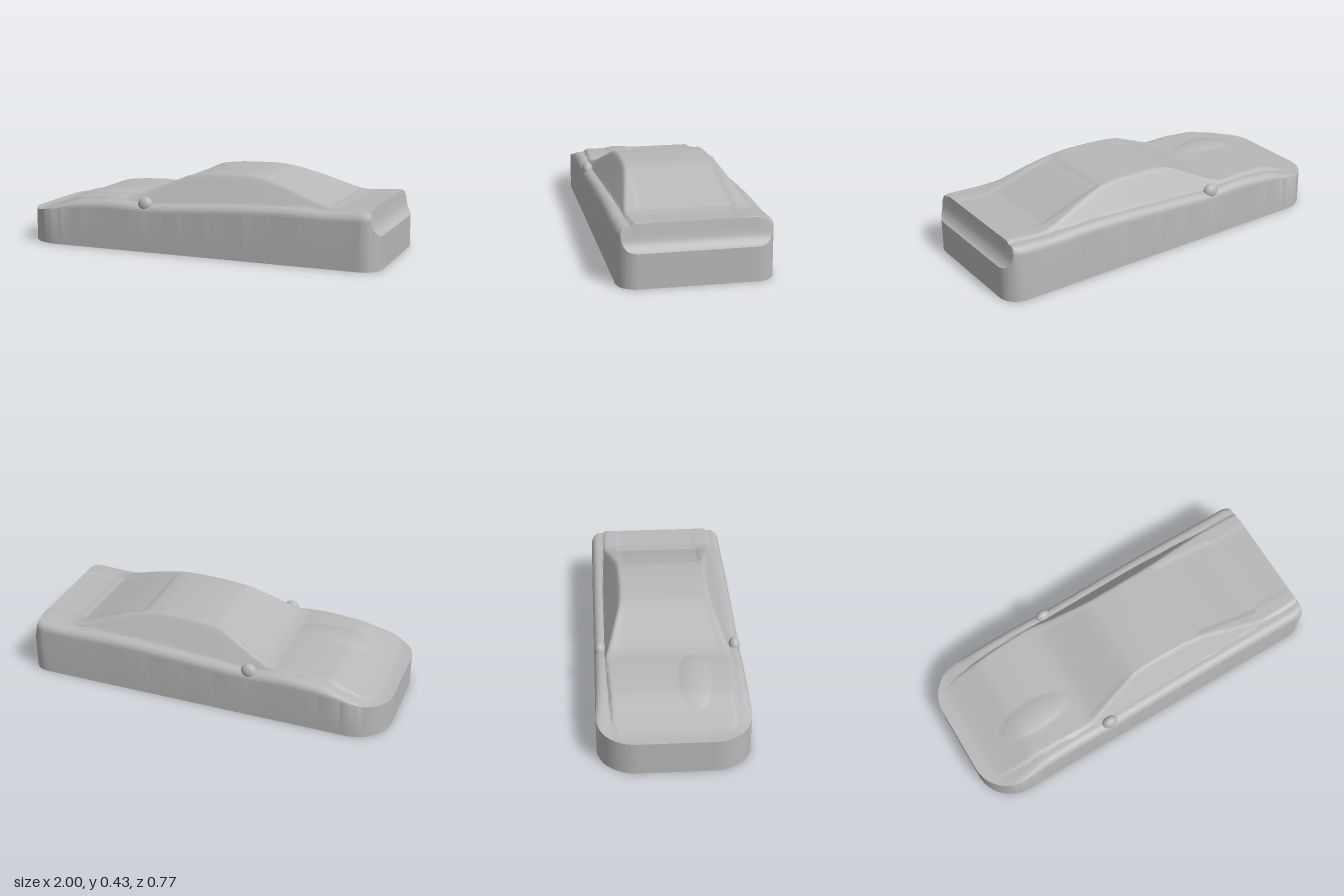
import * as THREE from 'three';
import { toCreasedNormals } from 'three/addons/utils/BufferGeometryUtils.js';

const HALF = 0.385;

// piecewise-linear profile lookup
function linear(points, x) {
  if (x <= points[0][0]) return points[0][1];
  for (let i = 1; i < points.length; i++) {
    const [x1, y1] = points[i];
    if (x <= x1) {
      const [x0, y0] = points[i - 1];
      return y0 + ((y1 - y0) * (x - x0)) / (x1 - x0);
    }
  }
  return points[points.length - 1][1];
}

// the same profile with its corners rounded off
function soft(points, x, r = 0.04) {
  let sum = 0;
  for (let k = -4; k <= 4; k++) sum += linear(points, x + (k * r) / 4);
  return sum / 9;
}

function smoothMin(a, b, k) {
  const h = Math.max(k - Math.abs(a - b), 0) / k;
  return Math.min(a, b) - (h * h * k) / 4;
}

const step = THREE.MathUtils.smoothstep;

// centre-line height: bonnet, windscreen, roof, rear window, rear deck
const CENTRE = [[-1, 0.17], [-0.93, 0.175], [-0.85, 0.202], [-0.7, 0.262], [-0.58, 0.273], [-0.45, 0.277],
  [-0.38, 0.272], [-0.3, 0.297], [-0.07, 0.405], [0.04, 0.42], [0.15, 0.425], [0.28, 0.425], [0.37, 0.413],
  [0.5, 0.377], [0.7, 0.308], [0.76, 0.297], [0.85, 0.303], [0.95, 0.31], [1, 0.313]];
// shoulder height along the sides
const SHOULDER = [[-1, 0.175], [-0.92, 0.175], [-0.8, 0.212], [-0.68, 0.248], [-0.5, 0.264], [-0.38, 0.262],
  [-0.27, 0.252], [-0.1, 0.264], [0.2, 0.282], [0.5, 0.293], [0.75, 0.287], [0.95, 0.297], [1, 0.298]];
// half-width of the raised bonnet, cabin and deck
const EDGE = [[-1, 0.27], [-0.93, 0.285], [-0.85, 0.308], [-0.6, 0.322], [-0.35, 0.33], [0.3, 0.328], [0.95, 0.312]];
// concave tail panel
const TAIL = [[0.949, 0.32], [0.953, 0.295], [0.96, 0.24], [0.966, 0.216], [0.975, 0.2], [0.986, 0.185], [1, 0.175]];

// half-width of the rounded plan outline
function halfWidth(x) {
  const r = x < 0 ? 0.2 : 0.1;
  const d = Math.max(0, Math.abs(x) - (1 - r));
  return HALF - r + Math.sqrt(Math.max(0, r * r - d * d));
}

// recessed panel between two stations, with soft borders
function panel(x, a, x0, x1, w0, w1, depth) {
  const w = THREE.MathUtils.mapLinear(x, x0, x1, w0, w1);
  return depth * step(x, x0, x0 + 0.03) * (1 - step(x, x1 - 0.03, x1)) * (1 - step(a, w - 0.03, w));
}

function height(x, z) {
  const a = Math.abs(z);
  const side = Math.max(0.175, soft(SHOULDER, x));
  const slope = side + (linear(EDGE, x) - a) * 1.6;
  let y = Math.max(side, smoothMin(Math.max(soft(CENTRE, x, 0.03), 0.17), slope, 0.014));
  // windscreen, rear window and deck recesses
  y -= panel(x, a, -0.37, -0.04, 0.3, 0.235, 0.004);
  y -= panel(x, a, 0.35, 0.74, 0.235, 0.255, 0.007);
  y -= panel(x, a, 0.7, 0.97, 0.24, 0.24, 0.003);
  // bonnet bulge on one side
  const e = ((x + 0.6) / 0.2) ** 2 + ((z - 0.12) / 0.08) ** 2;
  if (e < 1) y += 0.012 * Math.sqrt(1 - e) * (1 - e * 0.4);
  // rounded shoulder, fading out towards the flat nose ledge
  const t = THREE.MathUtils.clamp((a - halfWidth(x) + 0.04) / 0.04, 0, 1);
  y -= 0.045 * step(side, 0.175, 0.27) * (1 - Math.sqrt(1 - t * t));
  return x > 0.949 ? Math.min(y, linear(TAIL, x)) : y;
}

// closed loft of cross-sections from nose to tail
function bodyGeometry() {
  const stations = 210, columns = 110, ring = columns + 3;
  const position = [], index = [];
  for (let i = 0; i <= stations; i++) {
    const x = -Math.cos((Math.PI * i) / stations);
    const w = halfWidth(x);
    position.push(x, 0, w);
    for (let j = 0; j <= columns; j++) {
      const z = w * Math.cos((Math.PI * j) / columns);
      position.push(x, height(x, z), z);
    }
    position.push(x, 0, -w);
  }
  for (let i = 0; i < stations; i++) {
    for (let j = 0; j < ring; j++) {
      const k = (j + 1) % ring;
      const a = i * ring + j, b = a + ring, c = i * ring + k, d = c + ring;
      index.push(a, b, c, b, d, c);
    }
  }
  // flat nose and tail caps
  const last = stations * ring;
  for (let k = 1; k < ring - 1; k++) {
    index.push(0, k, k + 1, last, last + k + 1, last + k);
  }
  const geometry = new THREE.BufferGeometry();
  geometry.setAttribute('position', new THREE.Float32BufferAttribute(position, 3));
  geometry.setIndex(index);
  return toCreasedNormals(geometry, 0.6);
}

export function createModel() {
  const group = new THREE.Group();
  group.name = 'car';
  const grey = new THREE.MeshStandardMaterial({ color: 0xb8b8b8 });
  grey.name = 'grey';

  const body = new THREE.Mesh(bodyGeometry(), grey);
  body.name = 'body';
  group.add(body);

  // wing mirrors
  for (const s of [1, -1]) {
    const mirror = new THREE.Mesh(new THREE.SphereGeometry(1, 24, 16), grey);
    mirror.name = s > 0 ? 'frontMirror' : 'backMirror';
    mirror.scale.set(0.042, 0.042, 0.03);
    mirror.position.set(-0.27, 0.25, s * 0.354);
    group.add(mirror);
  }
  return group;
}
